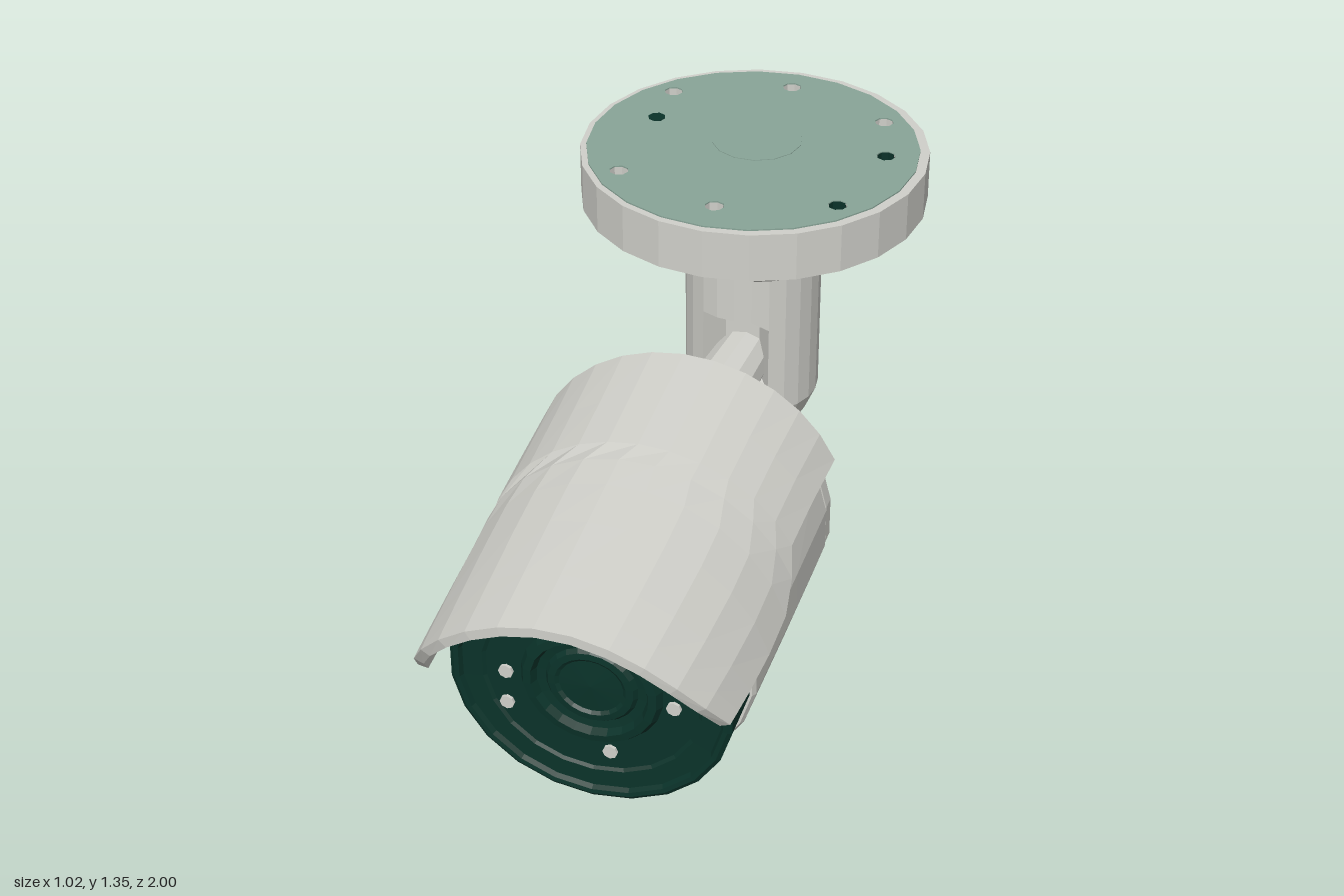
import * as THREE from 'three';

const mat = (name, color) => Object.assign(new THREE.MeshStandardMaterial({ color }), { name });
const BODY_X = -0.05, BODY_Y = 0.385, STEM_Z = -0.565;

// Sloping top line of the sun hood
const hoodTop = z => 0.755 + (1 - z) * 0.125;

// Separate the faces so that each one is shaded flat
function flat(geo) {
  const g = geo.index ? geo.toNonIndexed() : geo;
  g.computeVertexNormals();
  return g;
}

function reshape(geo, rule) {
  const p = geo.attributes.position, v = new THREE.Vector3();
  for (let i = 0; i < p.count; i++) {
    rule(v.fromBufferAttribute(p, i));
    p.setXYZ(i, v.x, v.y, v.z);
  }
  return geo;
}

const lathe = (pts, sides) => new THREE.LatheGeometry(pts.map(p => new THREE.Vector2(...p)), sides);

// Body sections run along z; the upper half is fitted under the sloping hood
function bodyLathe(pts) {
  const g = lathe(pts, 22).rotateX(Math.PI / 2);
  return reshape(g, v => {
    const top = Math.min(0.855, hoodTop(v.z) - 0.03);
    v.y = BODY_Y + v.y * (v.y > 0 ? (top - BODY_Y) / 0.41 : BODY_Y / 0.41);
    v.x += BODY_X;
  });
}

// Flat plate lying in xz with drilled holes
function plate(cx, cz, r, sides, depth, y, holes = []) {
  const ring = (x, z, rad, n) => Array.from({ length: n }, (_, i) => {
    const a = i / n * Math.PI * 2;
    return new THREE.Vector2(x + rad * Math.cos(a), -z + rad * Math.sin(a));
  });
  const s = new THREE.Shape(ring(cx, cz, r, sides));
  for (const [x, z] of holes) s.holes.push(new THREE.Path(ring(x, z, 0.027, 8)));
  return new THREE.ExtrudeGeometry(s, { depth, bevelEnabled: false }).rotateX(-Math.PI / 2).translate(0, y, 0);
}

// Arched shell lofted along z, with a stepped lower edge and a curved front lip
function hoodGeometry() {
  const rows = [-0.11, 0.1, 0.28, 0.35, 0.45, 0.6, 0.8, 0.92, 1], N = 12, R = 0.44, pos = [];
  const edge = [0.63, 0.62, 0.605, 0.55, 0.5, 0.485, 0.48, 0.48, 0.48];
  const loops = rows.map((z, i) => {
    const cy = hoodTop(z) - R;
    const a0 = Math.asin((edge[i] - cy) / R);
    const a1 = Math.PI - Math.asin((edge[i] - (z < 0.3 ? 0.03 : 0.09) - cy) / R);
    const arc = r => Array.from({ length: N + 1 }, (_, j) => {
      const a = a0 + (a1 - a0) * j / N, y = cy + R * Math.sin(a);
      const lip = 1 - 1.4 * Math.max(0, 0.755 - y) ** 2;
      const zz = z > 0.6 ? 0.6 + (z - 0.6) * (lip - 0.6) / 0.4 : z;
      return [-0.055 + 1.06 * r * Math.cos(a), cy + r * Math.sin(a), zz];
    });
    return [...arc(R), ...arc(R - 0.028).reverse()];
  });
  const quad = (a, b, c, d) => pos.push(...a, ...b, ...c, ...a, ...c, ...d);
  const M = 2 * (N + 1);
  for (let i = 0; i < rows.length - 1; i++)
    for (let j = 0; j < M; j++) {
      const k = (j + 1) % M;
      quad(loops[i][j], loops[i][k], loops[i + 1][k], loops[i + 1][j]);
    }
  const f = loops[rows.length - 1], b = loops[0];
  for (let j = 0; j < N; j++) {
    quad(f[j], f[j + 1], f[M - 2 - j], f[M - 1 - j]);
    quad(b[j + 1], b[j], b[M - 1 - j], b[M - 2 - j]);
  }
  return new THREE.BufferGeometry().setAttribute('position', new THREE.Float32BufferAttribute(pos, 3));
}

export function createModel() {
  const group = new THREE.Group();
  const grey = mat('warm grey', 0xd0d0ca);
  const green = mat('dark green', 0x0a3229);
  const pale = mat('pale green', 0x89a598);
  const add = (name, geo, material) => {
    const m = new THREE.Mesh(flat(geo), material);
    m.name = name;
    group.add(m);
    return m;
  };

  // Camera body
  add('bodyShell', bodyLathe([[0, -0.165], [0.395, -0.172], [0.404, -0.167], [0.404, -0.122], [0.398, -0.112],
    [0.408, -0.105], [0.41, 0.2], [0.41, 0.585], [0.402, 0.6], [0, 0.6]]), grey);
  add('frontFace', bodyLathe([[0.395, 0.6], [0.397, 0.76], [0.385, 0.768], [0.372, 0.766], [0.365, 0.752],
    [0.31, 0.75], [0.3, 0.744], [0.2, 0.744], [0.188, 0.765], [0.165, 0.768], [0.155, 0.745], [0.13, 0.742],
    [0.12, 0.755], [0.1, 0.757], [0.09, 0.75], [0, 0.756]]), green);
  add('rearSeal', bodyLathe([[0, -0.176], [0.395, -0.176], [0.395, -0.168]]), green);
  add('rearPlate', bodyLathe([[0, -0.18], [0.305, -0.18], [0.31, -0.174]]), grey);
  for (const [x, y] of [[-0.29, 0.375], [-0.29, 0.27], [0.18, 0.365], [0, 0.17]])
    add('frontLamp', new THREE.CylinderGeometry(0.021, 0.021, 0.009, 8).rotateX(Math.PI / 2).translate(x, y, 0.75), grey);
  for (const [x, y] of [[-0.235, 0.325], [0.225, 0.32], [0.04, 0.14]])
    add('rearScrew', new THREE.CylinderGeometry(0.02, 0.02, 0.006, 8).rotateX(Math.PI / 2).translate(x, y, -0.18), grey);

  // Sun hood
  add('sunHood', hoodGeometry(), grey);

  // Arm between body and joint
  const from = new THREE.Vector3(-0.04, 0.642, -0.165), to = new THREE.Vector3(0, 0.692, -0.5);
  const dir = to.clone().sub(from);
  const arm = add('arm', new THREE.CylinderGeometry(0.08, 0.1, dir.length(), 12), grey);
  arm.position.copy(from).add(to).multiplyScalar(0.5);
  arm.quaternion.setFromUnitVectors(new THREE.Vector3(0, 1, 0), dir.normalize());

  // Joint stem with a slot pressed into its front and back
  const stem = lathe([[0, 0.43], [0.09, 0.43], [0.165, 0.475], [0.197, 0.55], [0.197, 0.62], [0.197, 0.64],
    [0.197, 0.7], [0.197, 0.72], [0.197, 0.83], [0.197, 0.86], [0.197, 1.04]], 24);
  reshape(stem, v => {
    const low = v.z > 0 ? 0.63 : 0.71;
    if (Math.abs(v.x) < 0.07 && v.y > low && v.y < 0.84) v.z = Math.sign(v.z) * 0.1;
    v.x -= 0.006;
    v.z += STEM_Z;
  });
  add('jointStem', stem, grey);

  // Fluted collar
  const flutes = Array.from({ length: 32 }, (_, i) => {
    const a = (i + 0.5) / 32 * Math.PI * 2, r = i % 4 === 0 ? 0.238 : 0.264;
    return new THREE.Vector2(r * Math.cos(a), r * Math.sin(a));
  });
  add('collar', new THREE.ExtrudeGeometry(new THREE.Shape(flutes),
    { depth: 0.16, bevelThickness: 0.012, bevelSize: 0.014, bevelOffset: -0.014, bevelSegments: 1 })
    .rotateX(-Math.PI / 2).translate(-0.007, 1.04, STEM_Z), grey);

  // Mounting flange with screw holes
  const holes = [[0.005, -0.9], [-0.315, -0.77], [0.315, -0.77], [0.37, -0.575], [0.315, -0.265], [0, -0.16], [-0.31, -0.27]];
  add('flange', plate(0.007, -0.515, 0.49, 24, 0.141, 1.205, holes), grey);
  add('flangePad', plate(0.002, -0.515, 0.468, 24, 0.004, 1.346, holes), pale);
  add('padCentre', plate(0, -0.56, 0.128, 14, 0.002, 1.35), pale);
  add('blindHole', plate(-0.31, -0.6, 0.025, 8, 0.002, 1.35), green);

  // Dark linings, facing inward, in two of the screw holes
  for (const [x, z] of holes.slice(3, 5))
    add('holeLining', lathe([[0.024, 1.349], [0.024, 1.207]], 8).translate(x, 0, z), green);
  return group;
}
